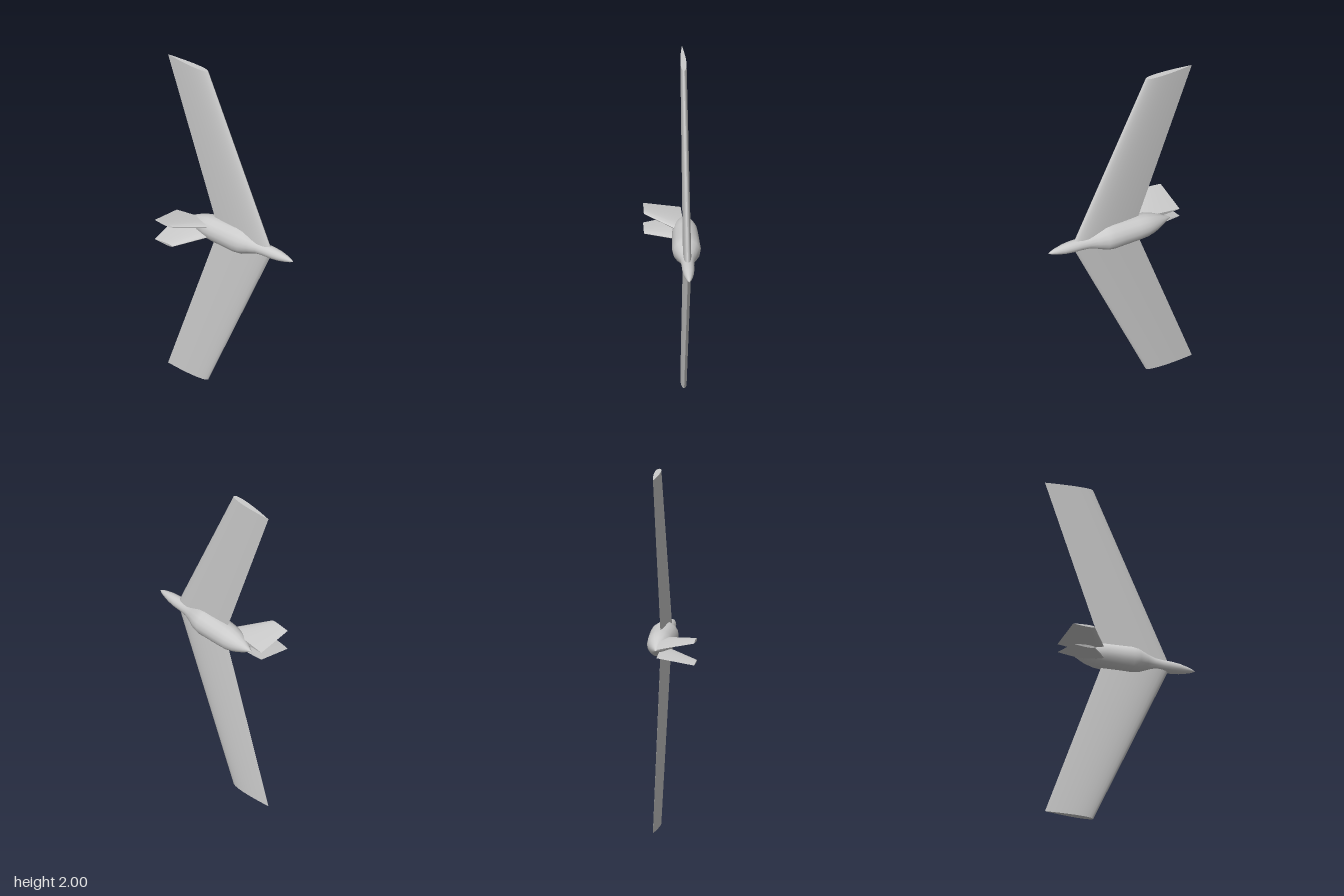
import * as THREE from 'three';
import { toCreasedNormals } from 'three/addons/utils/BufferGeometryUtils.js';

const material = new THREE.MeshStandardMaterial({ color: 0xcccccc });

// Closed symmetric airfoil, from trailing edge over one side to the nose and back: [chord fraction, half thickness]
function airfoil(thickness, steps = 14) {
  const points = [];
  for (let i = 0; i < steps * 2; i++) {
    const c = (1 + Math.cos((Math.PI * i) / steps)) / 2;
    const t = 5 * thickness * (0.2969 * Math.sqrt(c) - 0.126 * c - 0.3516 * c * c + 0.2843 * c ** 3 - 0.1036 * c ** 4);
    points.push([c, i < steps ? t : -t]);
  }
  return points;
}

// Tapered panel between two airfoil sections; each end gives lead, trail (x) and y, z
function panel(name, root, tip, thickness) {
  const span = new THREE.Vector3(0, tip.y - root.y, tip.z - root.z).normalize();
  const normal = new THREE.Vector3(1, 0, 0).cross(span);
  const section = airfoil(thickness);
  const n = section.length;
  const positions = [];
  for (const end of [root, tip]) {
    const chord = end.lead - end.trail;
    for (const [c, t] of section) {
      positions.push(end.lead - c * chord, end.y + normal.y * t * chord, end.z + normal.z * t * chord);
    }
  }
  const index = [];
  for (let i = 0; i < n; i++) {
    const j = (i + 1) % n;
    index.push(i, j, n + i, j, n + j, n + i);
    // end caps
    if (i > 0 && i < n - 1) index.push(0, i + 1, i, n, n + i, n + i + 1);
  }
  const geometry = new THREE.BufferGeometry();
  geometry.setAttribute('position', new THREE.Float32BufferAttribute(positions, 3));
  geometry.setIndex(index);
  const mesh = new THREE.Mesh(toCreasedNormals(geometry, 0.7), material);
  mesh.name = name;
  return mesh;
}

export function createModel() {
  const group = new THREE.Group();
  group.name = 'glider';

  // Fuselage: radius along x from tail to nose
  const profile = [
    [-0.31, 0], [-0.285, 0.014], [-0.25, 0.034], [-0.2, 0.056], [-0.15, 0.069], [-0.1, 0.073],
    [0, 0.077], [0.06, 0.08], [0.1, 0.075], [0.15, 0.055], [0.2, 0.039], [0.25, 0.035],
    [0.3, 0.034], [0.35, 0.029], [0.4, 0.018], [0.425, 0.01], [0.444, 0],
  ];
  const body = new THREE.LatheGeometry(profile.map(([x, r]) => new THREE.Vector2(r, x)), 16);
  body.rotateZ(-Math.PI / 2);
  const fuselage = new THREE.Mesh(body, material);
  fuselage.name = 'fuselage';
  fuselage.position.set(0, 1, -0.073);
  group.add(fuselage);

  // Swept wings and splayed tail fins, mirrored about y = 1
  for (const side of [1, -1]) {
    const label = side > 0 ? 'upper' : 'lower';
    group.add(panel(label + 'Wing',
      { lead: 0.287, trail: -0.095, y: 1 + side * 0.02, z: -0.072 },
      { lead: -0.16, trail: -0.445, y: 1 + side, z: -0.07 }, 0.12));
    group.add(panel(label + 'TailFin',
      { lead: -0.083, trail: -0.375, y: 1 + side * 0.024, z: -0.06 },
      { lead: -0.235, trail: -0.362, y: 1 + side * 0.062, z: 0.148 }, 0.11));
  }
  return group;
}
